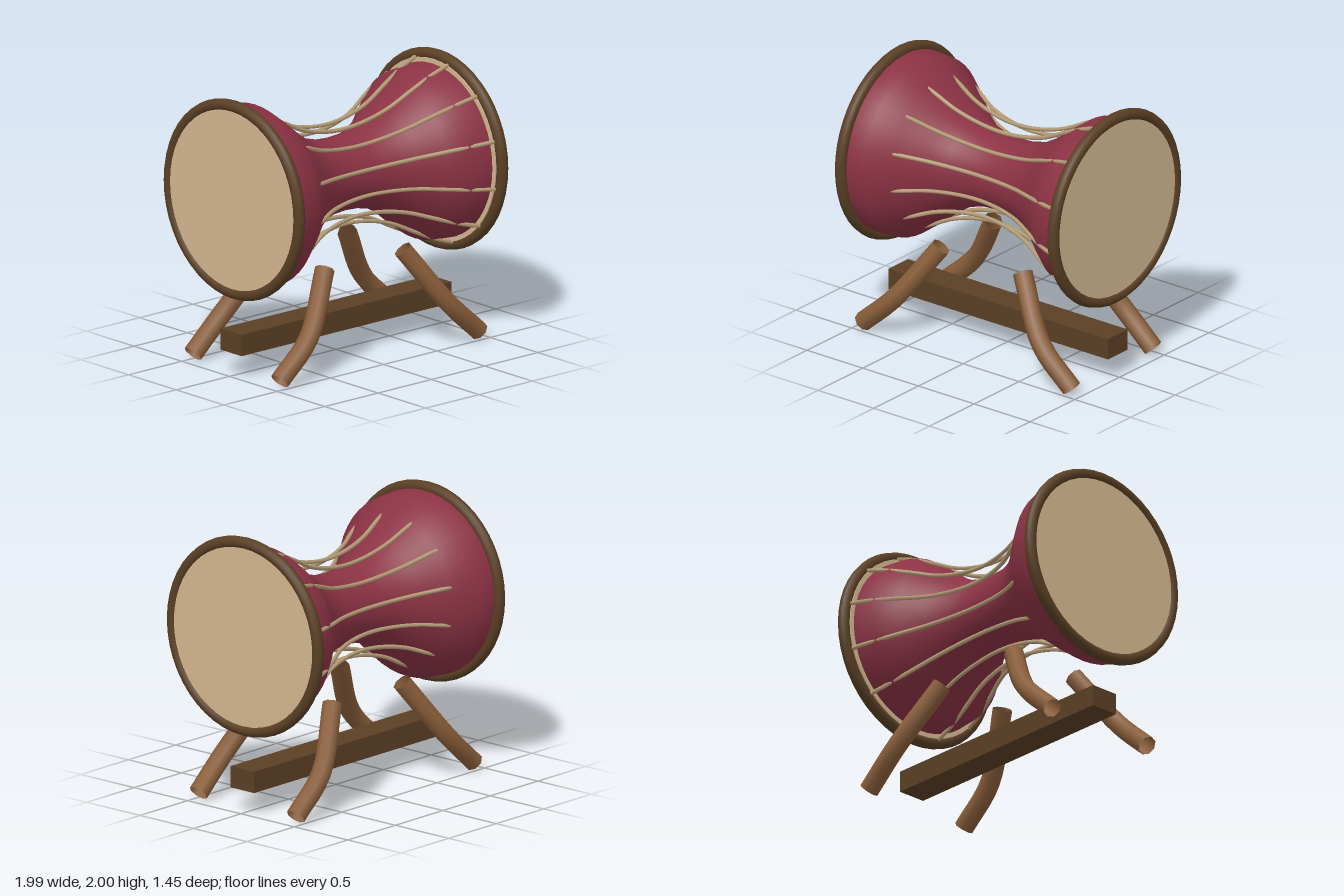
import * as THREE from 'three';

const AXIS_Y = 1.28; // height of the drum's axis

function material(name, color, side = THREE.FrontSide) {
  const m = new THREE.MeshStandardMaterial({ color, side });
  m.name = name;
  return m;
}

export function createModel() {
  const model = new THREE.Group();
  model.name = 'hourglassDrum';

  const red = material('redLacquer', 0x8b3244);
  const darkWood = material('darkWood', 0x5a3f24);
  const legWood = material('legWood', 0x8a5e3a, THREE.DoubleSide);
  const hide = material('drumSkin', 0xd2b68f);
  const cord = material('cord', 0xb59c76, THREE.DoubleSide);

  const add = (parent, name, geometry, mat) => {
    const mesh = new THREE.Mesh(geometry, mat);
    mesh.name = name;
    parent.add(mesh);
    return mesh;
  };

  // Drum: everything here is centred on the horizontal x axis
  const drum = new THREE.Group();
  drum.name = 'drum';
  drum.position.y = AXIS_Y;
  model.add(drum);

  // Hourglass body, profile as [radius, position along x]
  const profile = [
    [0.668, -0.925], [0.657, -0.76], [0.54, -0.6], [0.41, -0.44], [0.315, -0.29], [0.272, -0.14],
    [0.262, 0], [0.27, 0.14], [0.305, 0.29], [0.39, 0.44], [0.515, 0.6], [0.612, 0.735], [0.628, 0.91],
  ].map(([r, x]) => new THREE.Vector2(r, x));
  const body = add(drum, 'body', new THREE.LatheGeometry(profile, 48), red);
  body.rotation.z = -Math.PI / 2;

  // Skins and rims at both ends
  for (const side of [-1, 1]) {
    const skin = add(drum, 'skin', new THREE.CylinderGeometry(0.66, 0.66, 0.072, 48), hide);
    skin.rotation.z = -Math.PI / 2;
    skin.position.x = side * 0.942;
    const rim = add(drum, 'rim', new THREE.TorusGeometry(0.68, 0.0425, 12, 48), darkWood);
    rim.rotation.y = Math.PI / 2;
    rim.position.x = side * 0.9525;
  }

  // Twelve tension cords, drawn in at the waist
  const cordPath = new THREE.CatmullRomCurve3([
    [-0.92, 0.645], [-0.6, 0.53], [-0.4, 0.43], [-0.2, 0.374], [0, 0.354],
    [0.2, 0.374], [0.4, 0.43], [0.6, 0.53], [0.78, 0.615], [0.93, 0.668],
  ].map(([x, r]) => new THREE.Vector3(x, r, 0)));
  const cordGeometry = new THREE.TubeGeometry(cordPath, 36, 0.015, 6);
  for (let i = 0; i < 12; i++) {
    const c = add(drum, 'tensionCord', cordGeometry, cord);
    c.rotation.x = THREE.MathUtils.degToRad(13 + i * 30);
  }

  // Stand: long beam and four splayed curved legs
  const beam = add(model, 'standBeam', new THREE.BoxGeometry(1.97, 0.155, 0.22), darkWood);
  beam.position.y = 0.247;

  for (const sx of [-1, 1]) {
    for (const sz of [-1, 1]) {
      const path = new THREE.CatmullRomCurve3([
        new THREE.Vector3(sx * 0.936, 0.053, sz * 0.455),
        new THREE.Vector3(sx * 0.655, 0.31, sz * 0.445),
        new THREE.Vector3(sx * 0.365, 0.723, sz * 0.29),
      ]);
      add(model, 'leg', new THREE.TubeGeometry(path, 12, 0.07, 8), legWood);
    }
  }

  return model;
}
